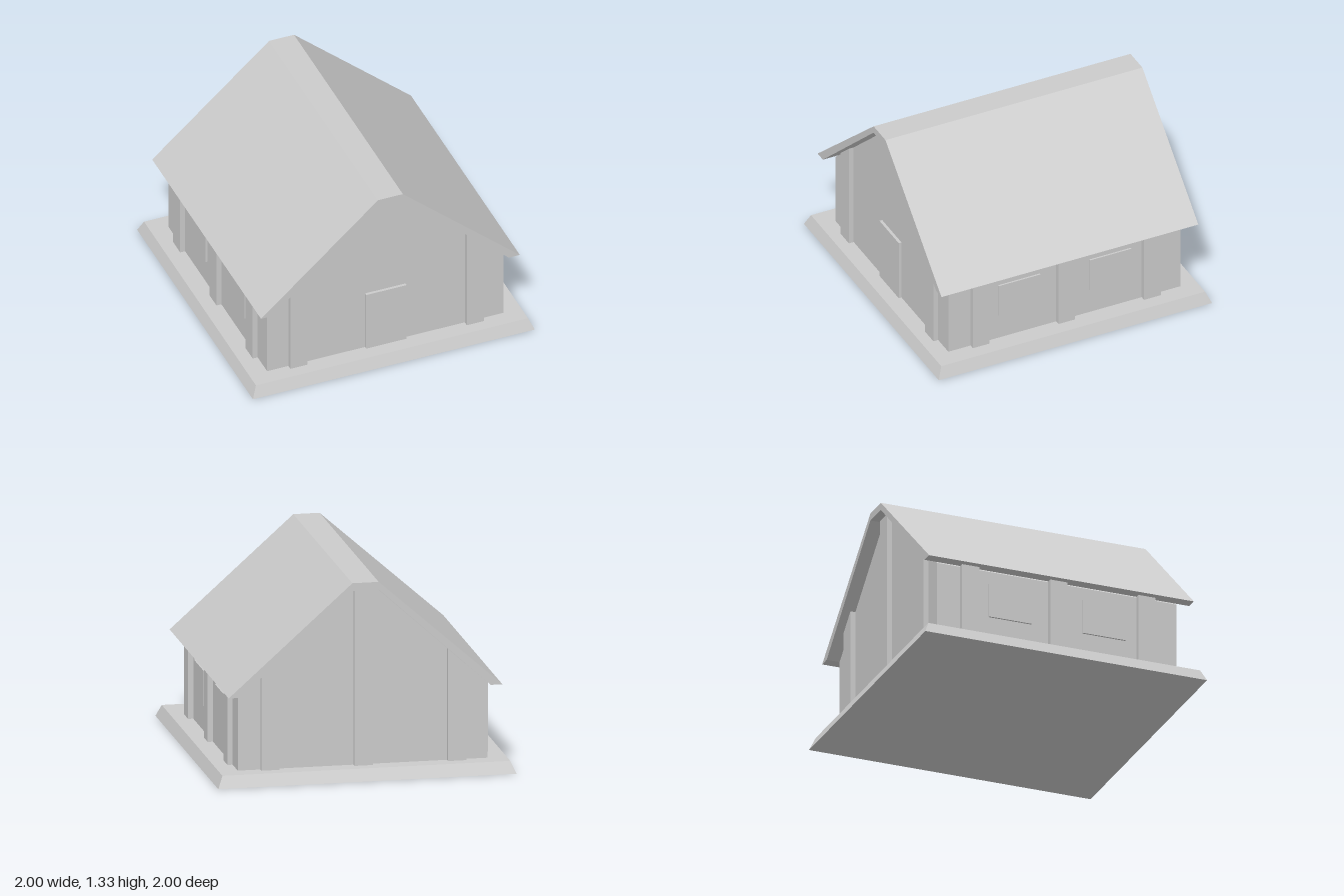
import * as THREE from 'three';

const material = new THREE.MeshStandardMaterial({ color: 0xcccccc, flatShading: true });

const HALF_W = 0.838, HALF_D = 0.85; // wall faces
const FLOOR = 0.08, EAVE = 0.59;
const RIDGE_HALF = 0.088, WALL_TOP = 1.27;
const RELIEF = 0.035; // how far the posts stand out

// Height of the gable wall at a given x
function gableY(x) {
  const t = (HALF_W - Math.abs(x)) / (HALF_W - RIDGE_HALF);
  return EAVE + (WALL_TOP - EAVE) * Math.min(1, t);
}

export function createModel() {
  const house = new THREE.Group();
  house.name = 'house';

  function add(name, geometry) {
    const mesh = new THREE.Mesh(geometry, material);
    mesh.name = name;
    house.add(mesh);
    return mesh;
  }

  // Outline in x/y, extruded from z0 to z1
  function slab(name, points, z0, z1) {
    const shape = new THREE.Shape(points.map(([x, y]) => new THREE.Vector2(x, y)));
    const geometry = new THREE.ExtrudeGeometry(shape, { depth: z1 - z0, bevelEnabled: false });
    return add(name, geometry.translate(0, 0, z0));
  }

  function box(name, x0, x1, y0, y1, z0, z1) {
    const mesh = add(name, new THREE.BoxGeometry(x1 - x0, y1 - y0, z1 - z0));
    mesh.position.set((x0 + x1) / 2, (y0 + y1) / 2, (z0 + z1) / 2);
  }

  // Plinth: a box tapered towards its top
  const plinth = new THREE.BoxGeometry(2, FLOOR, 2).translate(0, FLOOR / 2, 0);
  const pos = plinth.attributes.position;
  for (let i = 0; i < pos.count; i++) {
    if (pos.getY(i) > FLOOR / 2) {
      pos.setX(i, pos.getX(i) * 0.965);
      pos.setZ(i, pos.getZ(i) * 0.965);
    }
  }
  plinth.computeVertexNormals();
  add('plinth', plinth);

  // Walls with both gables
  slab('walls', [
    [-HALF_W, FLOOR], [HALF_W, FLOOR], [HALF_W, EAVE],
    [RIDGE_HALF, WALL_TOP], [-RIDGE_HALF, WALL_TOP], [-HALF_W, EAVE],
  ], -HALF_D, HALF_D);

  // Roof: a folded sheet with a flat ridge and level eave edges
  slab('roof', [
    [-0.918, 0.595], [-0.84, 0.595], [-0.09, 1.28], [0.09, 1.28], [0.84, 0.595],
    [0.918, 0.595], [0.088, 1.332], [-0.088, 1.332],
  ], -0.94, 0.94);

  // Gable posts, cut to the slope of the roof
  function gablePost(name, x0, x1, side) {
    const z0 = side > 0 ? HALF_D : -HALF_D - RELIEF;
    slab(name, [[x0, FLOOR], [x1, FLOOR], [x1, gableY(x1)], [x0, gableY(x0)]], z0, z0 + RELIEF);
  }
  for (const side of [1, -1]) {
    const end = side > 0 ? 'front' : 'back';
    gablePost(end + 'PostLeft', 0.565, 0.687, side);
    gablePost(end + 'PostRight', -0.687, -0.565, side);
  }
  gablePost('backPostCentre', -0.061, 0.061, -1);

  // Side posts and windows
  for (const side of [1, -1]) {
    const label = side > 0 ? 'left' : 'right';
    const span = (depth) => (side > 0 ? [HALF_W, HALF_W + depth] : [-HALF_W - depth, -HALF_W]);
    for (const z of [-0.626, 0, 0.626]) {
      box(label + 'Post', ...span(RELIEF), FLOOR, 0.597, z - 0.061, z + 0.061);
    }
    for (const z of [-0.333, 0.333]) {
      box(label + 'Window', ...span(0.012), 0.262, 0.5, z - 0.152, z + 0.152);
    }
  }

  // Front door
  box('door', -0.143, 0.143, FLOOR, 0.52, HALF_D, HALF_D + 0.02);

  return house;
}
